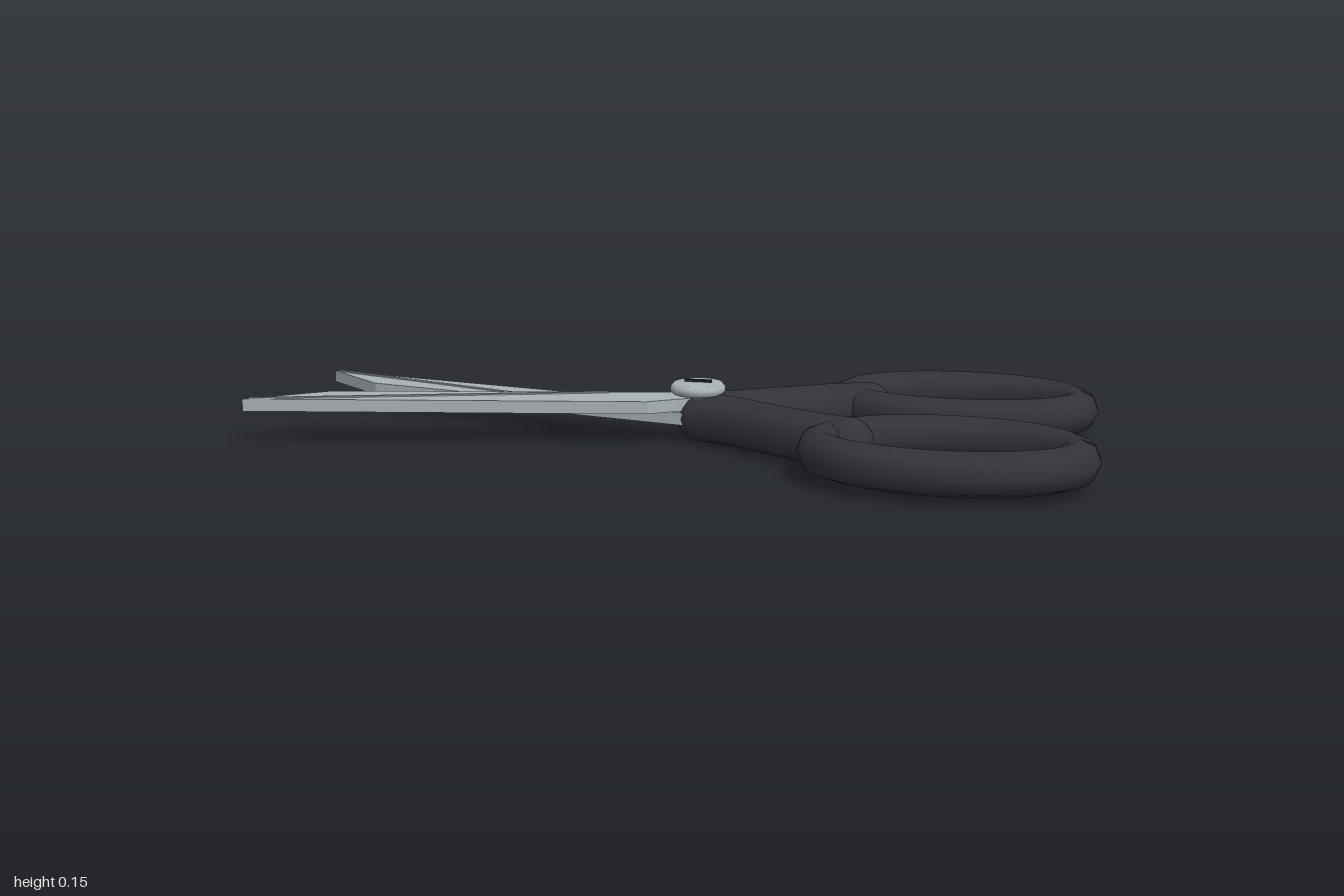
import * as THREE from 'three';

const steel = new THREE.MeshStandardMaterial({ color: 0xaab2b6 });
const plastic = new THREE.MeshStandardMaterial({ color: 0x35333a, side: THREE.DoubleSide });
const dark = new THREE.MeshStandardMaterial({ color: 0x222226 });

function add(parent, name, geometry, material, x = 0, y = 0, z = 0) {
  const mesh = new THREE.Mesh(geometry, material);
  mesh.name = name;
  mesh.position.set(x, y, z);
  parent.add(mesh);
  return mesh;
}

// Flat pointed blade with a thin raised line marking the ground edge
function makeBlade(side, y) {
  const blade = new THREE.Group();
  blade.name = side > 0 ? 'upperBlade' : 'lowerBlade';
  const outline = [[-1, 0.27], [-0.83, 0.135], [-0.18, 0], [0.02, -0.043], [0.09, 0], [0.01, 0.045], [-0.055, 0.09]];
  const shape = new THREE.Shape(outline.map(([x, z]) => new THREE.Vector2(x, -z * side)));
  const geometry = new THREE.ExtrudeGeometry(shape, { depth: 0.03, bevelEnabled: false });
  geometry.rotateX(-Math.PI / 2);
  add(blade, 'bladePlate', geometry, steel, 0, y, 0);

  const from = new THREE.Vector2(-0.985, 0.264), to = new THREE.Vector2(-0.17, 0.006);
  const ridge = add(blade, 'bladeRidge', new THREE.BoxGeometry(from.distanceTo(to), 0.005, 0.011), steel,
    (from.x + to.x) / 2, y + 0.0305, side * (from.y + to.y) / 2);
  ridge.rotation.y = -side * Math.atan2(to.y - from.y, to.x - from.x);
  return blade;
}

// Rounded shank leading to an oval finger loop
function makeHandle(side) {
  const handle = new THREE.Group();
  handle.name = side > 0 ? 'frontHandle' : 'backHandle';
  const y = 0.061, r = 0.061;
  const path = [[0.06, 0], [0.14, 0.038], [0.34, 0.158], [0.435, 0.2]]
    .map(([x, z]) => new THREE.Vector3(x, y, z * side));
  add(handle, 'shank', new THREE.TubeGeometry(new THREE.CatmullRomCurve3(path), 20, r, 8), plastic);
  for (const p of [path[0], path[3]]) {
    add(handle, 'shankEnd', new THREE.SphereGeometry(r, 16, 8), plastic, p.x, p.y, p.z);
  }

  // Open curve whose ends meet, leaving a fine seam at the far end
  const oval = [];
  for (let i = 0; i <= 20; i++) {
    const a = (i / 20) * Math.PI * 2;
    oval.push(new THREE.Vector3(0.66 + 0.28 * Math.cos(a), 0.063, side * (0.265 + 0.172 * Math.sin(a))));
  }
  add(handle, 'fingerLoop', new THREE.TubeGeometry(new THREE.CatmullRomCurve3(oval), 80, 0.05, 8), plastic);
  return handle;
}

// Pivot screw with a rounded head and a slot
function makeScrew() {
  const screw = new THREE.Group();
  screw.name = 'pivotScrew';
  const profile = [[0, 0.045], [0.03, 0.045], [0.03, 0.11], [0.06, 0.118], [0.066, 0.125], [0.066, 0.135], [0.058, 0.144], [0, 0.146]]
    .map(([x, y]) => new THREE.Vector2(x, y));
  add(screw, 'screwHead', new THREE.LatheGeometry(profile, 32), steel, 0.05, 0, 0);
  add(screw, 'screwSlot', new THREE.BoxGeometry(0.065, 0.01, 0.01), dark, 0.05, 0.146, 0);
  return screw;
}

export function createModel() {
  const model = new THREE.Group();
  model.name = 'scissors';
  model.add(makeBlade(1, 0.08), makeBlade(-1, 0.046));
  for (const side of [1, -1]) model.add(makeHandle(side));
  model.add(makeScrew());
  return model;
}
